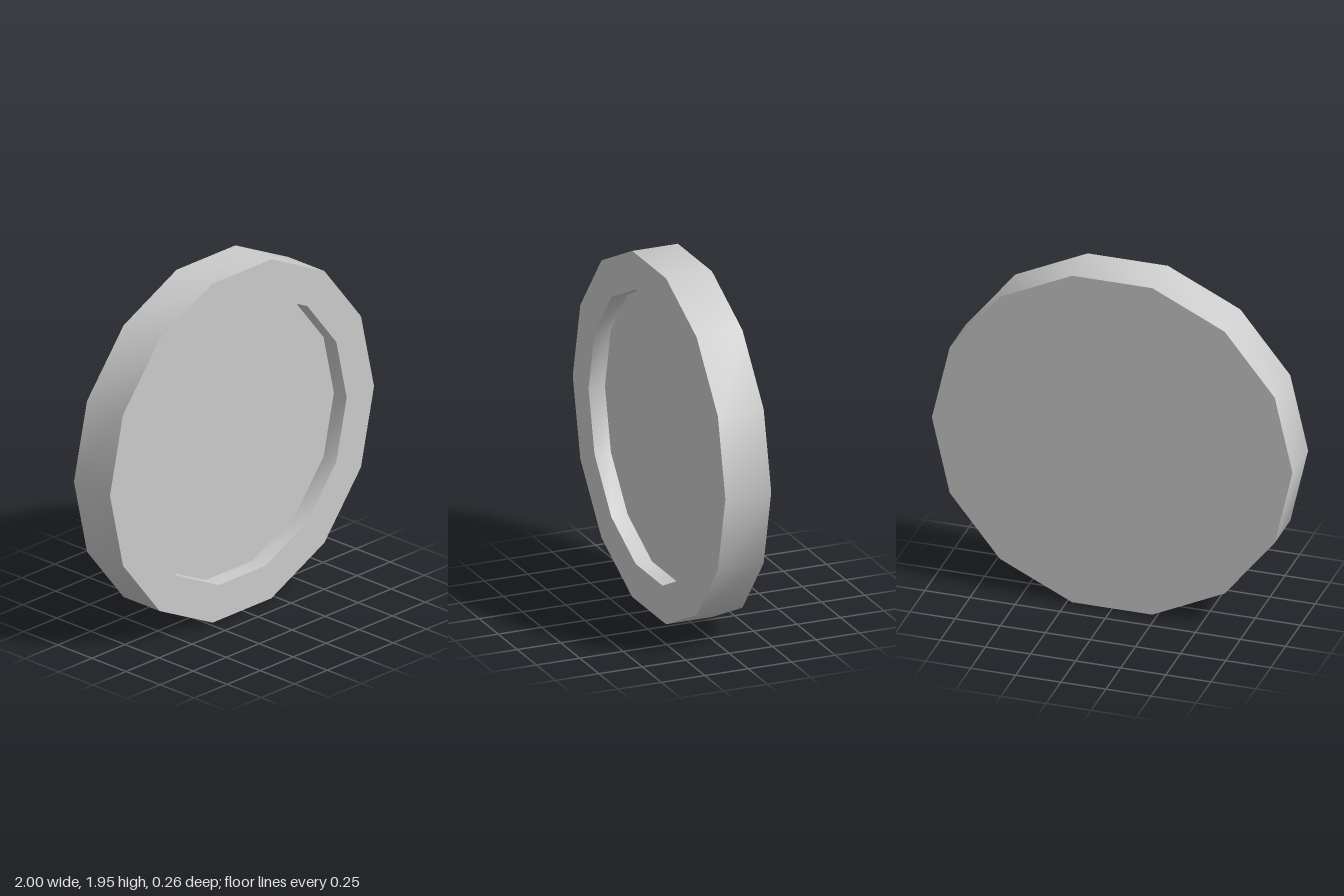
import * as THREE from 'three';
import { toCreasedNormals } from 'three/addons/utils/BufferGeometryUtils.js';

const SIDES = 14;
const RADIUS = 1;
const INNER = 0.793;      // radius of the recess
const HALF = 0.132;       // half thickness
const FLOOR = HALF - 0.094; // recess floor

export function createModel() {
  const group = new THREE.Group();
  group.name = 'recessedDisc';

  // Profile from the back centre, around the rim, into the front recess
  const profile = [
    [0, -HALF], [RADIUS, -HALF], [RADIUS, HALF],
    [INNER, HALF], [INNER, FLOOR], [0, FLOOR],
  ].map(([r, h]) => new THREE.Vector2(r, h));

  // Start at +x so that corners lie left and right and flats lie top and bottom
  const lathe = new THREE.LatheGeometry(profile, SIDES, Math.PI / 2);
  lathe.rotateX(Math.PI / 2);

  // Smooth around the rim, sharp at the profile corners
  const geometry = toCreasedNormals(lathe, Math.PI / 5);
  const disc = new THREE.Mesh(geometry, new THREE.MeshStandardMaterial({ color: 0xcccccc }));
  disc.name = 'disc';

  // Rest the bottom flat on the ground
  disc.position.y = RADIUS * Math.cos(Math.PI / SIDES);
  group.add(disc);
  return group;
}
